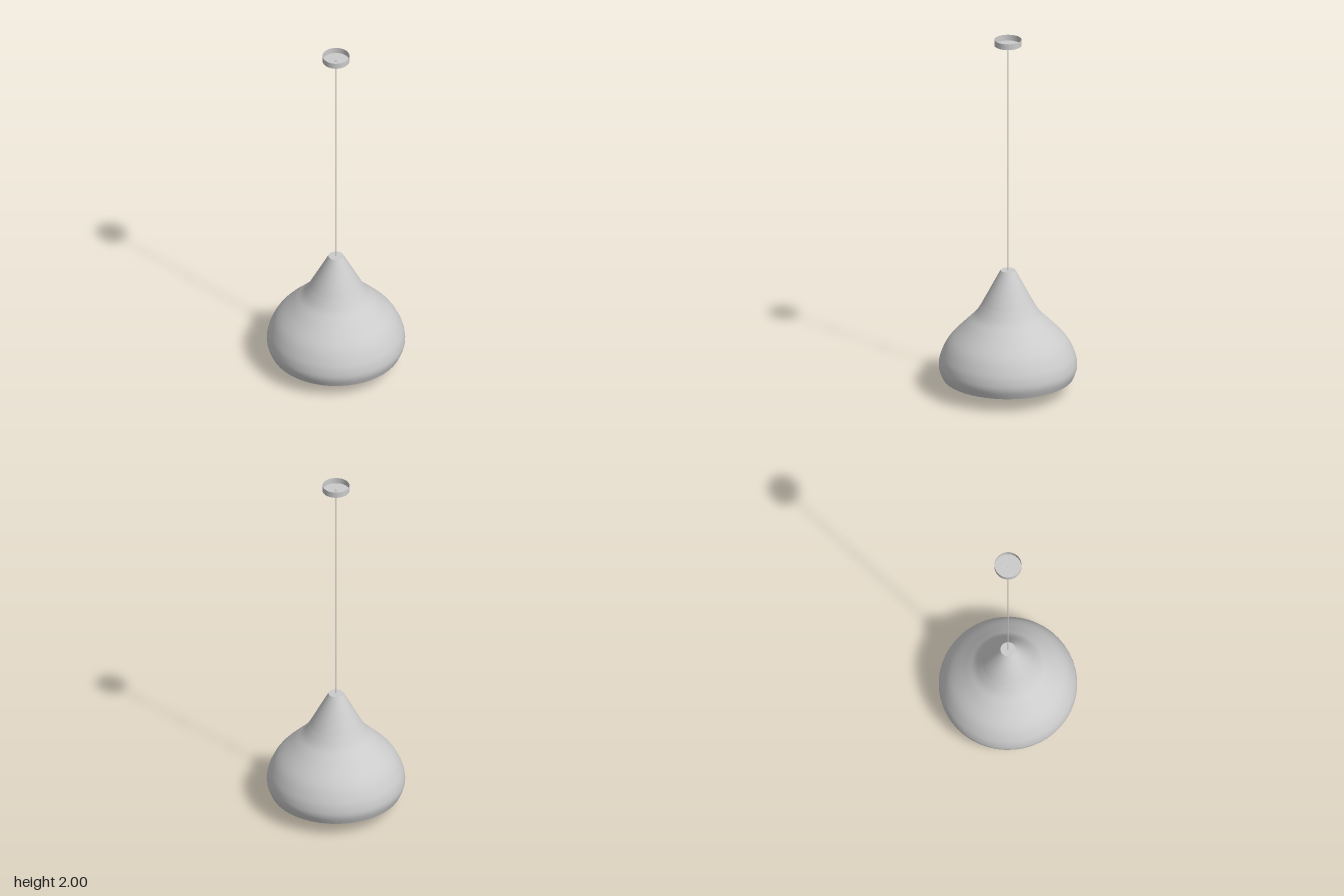
import * as THREE from 'three';

const SEG = 48;
const material = new THREE.MeshStandardMaterial({ color: 0xcccccc, side: THREE.DoubleSide });

// Smooth curve through [radius, height] pairs, listed from bottom to top
function smoothProfile(pairs, divisions) {
  const curve = new THREE.SplineCurve(pairs.map(([r, y]) => new THREE.Vector2(r, y)));
  return curve.getPoints(divisions).map((p) => p.setX(Math.max(0, p.x)));
}

export function createModel() {
  const lamp = new THREE.Group();
  lamp.name = 'pendantLamp';

  const add = (name, geometry, y = 0) => {
    const mesh = new THREE.Mesh(geometry, material);
    mesh.name = name;
    mesh.position.y = y;
    lamp.add(mesh);
    return mesh;
  };
  const rod = (name, rTop, rBottom, y0, y1, sides = SEG, open = false) =>
    add(name, new THREE.CylinderGeometry(rTop, rBottom, y1 - y0, sides, 1, open), (y0 + y1) / 2);

  // Bell-shaped shade, open at the bottom
  add('shade', new THREE.LatheGeometry(smoothProfile([
    [0.35, 0.08], [0.367, 0.125], [0.368, 0.165], [0.354, 0.218], [0.312, 0.294],
    [0.227, 0.384], [0.175, 0.437], [0.135, 0.5],
  ], 36), SEG));

  // Conical cap over the shade, with a flat lid around the cord
  rod('shadeCap', 0.04, 0.138, 0.497, 0.684, SEG, true);
  const lid = add('capLid', new THREE.RingGeometry(0.004, 0.04, SEG), 0.684);
  lid.rotation.x = -Math.PI / 2;

  // Bulb with its neck, and the socket hidden inside the shade
  add('bulb', new THREE.LatheGeometry(smoothProfile([
    [0, 0], [0.06, 0.01], [0.115, 0.04], [0.143, 0.08], [0.148, 0.112],
    [0.139, 0.165], [0.115, 0.21], [0.083, 0.255], [0.06, 0.3], [0.05, 0.34],
  ], 32), SEG));
  rod('socket', 0.05, 0.05, 0.34, 0.5, 24);

  // Cord and the grommet where it enters the ceiling cup
  rod('cord', 0.004, 0.004, 0.48, 1.975, 12);
  rod('grommet', 0.009, 0.006, 1.96, 1.97, 16);

  // Ceiling cup: thin wall with a floor, open at the top
  rod('canopyWall', 0.072, 0.072, 1.967, 2, SEG, true);
  const floor = add('canopyFloor', new THREE.RingGeometry(0.008, 0.072, SEG), 1.967);
  floor.rotation.x = -Math.PI / 2;

  return lamp;
}
